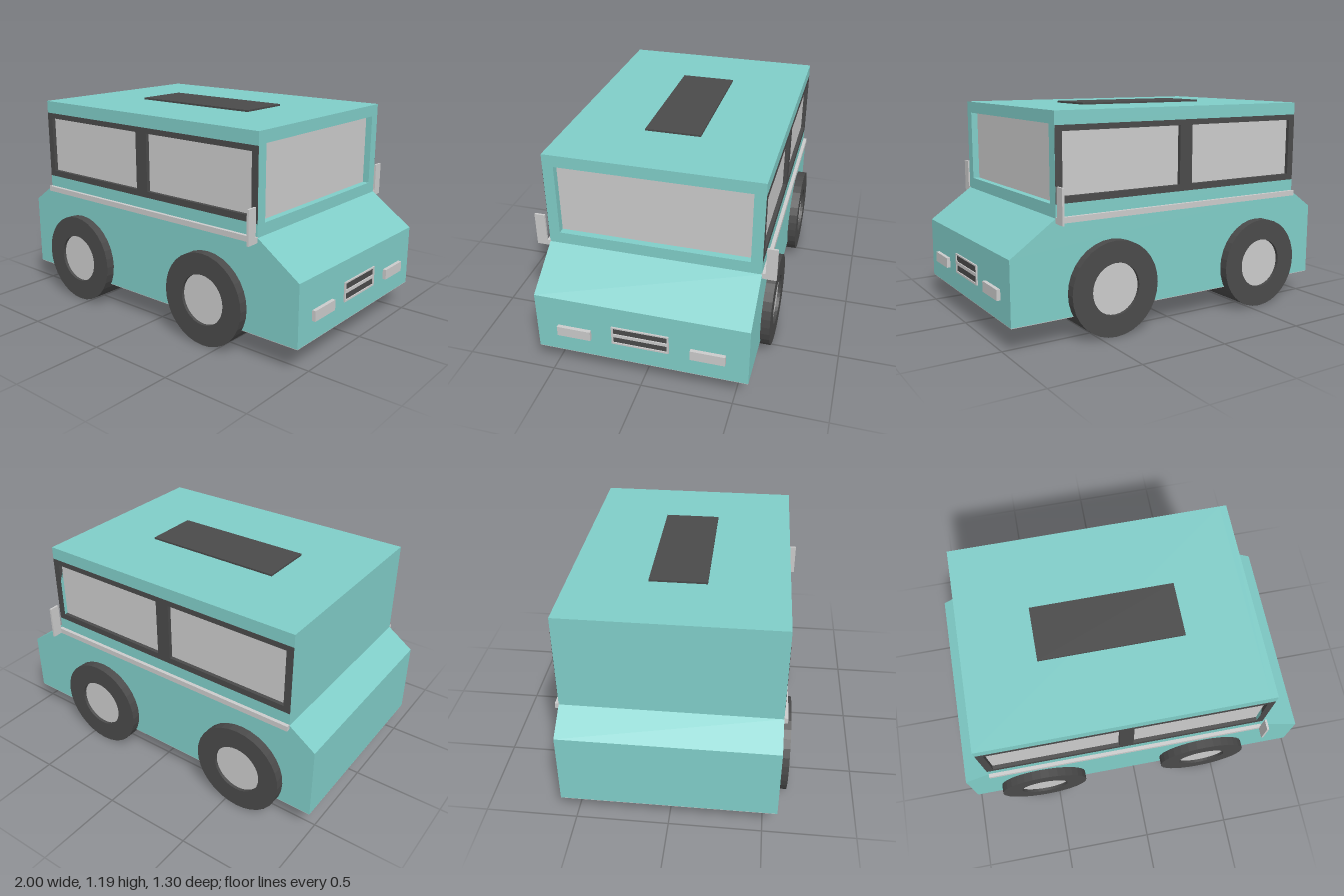
import * as THREE from 'three';

const mat = (color) => new THREE.MeshStandardMaterial({ color, flatShading: true });

export function createModel() {
  const car = new THREE.Group();
  car.name = 'boxyCar';
  const teal = mat(0x80cdc8), dark = mat(0x4a4a4a), grey = mat(0xcccccc);

  const add = (name, geometry, material, parent = car) => {
    const mesh = new THREE.Mesh(geometry, material);
    mesh.name = name;
    parent.add(mesh);
    return mesh;
  };
  // Box given by its limits on each axis
  const box = (name, material, x0, x1, y0, y1, z0, z1) => {
    const mesh = add(name, new THREE.BoxGeometry(x1 - x0, y1 - y0, z1 - z0), material);
    mesh.position.set((x0 + x1) / 2, (y0 + y1) / 2, (z0 + z1) / 2);
    return mesh;
  };
  const loop = (x0, x1, y0, y1) => [[x0, y0], [x1, y0], [x1, y1], [x0, y1]].map((p) => new THREE.Vector2(...p));
  // Flat panel with rectangular openings, extruded along z
  const panel = (outer, holes, depth) => {
    const shape = new THREE.Shape(loop(...outer));
    holes.forEach((h) => shape.holes.push(new THREE.Path(loop(...h))));
    return new THREE.ExtrudeGeometry(shape, { depth, bevelEnabled: false });
  };

  // Lower body with sloping bonnet and tail
  const profile = [[-1, 0.14], [0.98, 0.14], [0.98, 0.48], [0.73, 0.655], [-0.85, 0.655], [-1, 0.55]];
  const lower = new THREE.ExtrudeGeometry(
    new THREE.Shape(profile.map((p) => new THREE.Vector2(...p))), { depth: 1.15, bevelEnabled: false });
  add('lowerBody', lower.translate(0, 0, -0.575), teal);
  box('floor', grey, -0.999, 0.979, 0.137, 0.145, -0.574, 0.574);

  // Cabin: sill, roof, rear wall and windscreen surround
  box('cabinSill', teal, -0.85, 0.69, 0.65, 0.725, -0.575, 0.575);
  box('roof', teal, -0.85, 0.69, 1.11, 1.18, -0.575, 0.575);
  box('rearWall', teal, -0.85, -0.83, 0.7, 1.12, -0.575, 0.575);
  box('cabinGlass', grey, -0.84, 0.692, 0.7, 1.12, -0.555, 0.555);
  const surround = add('windscreenSurround',
    panel([-0.575, 0.575, 0.655, 1.18], [[-0.515, 0.515, 0.72, 1.115]], 0.04), teal);
  surround.rotation.y = Math.PI / 2;
  surround.position.x = 0.69;
  box('roofPanel', dark, -0.455, 0.335, 1.175, 1.19, -0.153, 0.153);

  // Parts on both flanks
  for (const side of [1, -1]) {
    const frame = add('sideWindowFrame', panel([-0.8495, 0.7295, 0.725, 1.11],
      [[-0.81, -0.1, 0.76, 1.08], [-0.02, 0.69, 0.76, 1.08]], 0.022), dark);
    frame.position.z = side > 0 ? 0.554 : -0.576;
    const trim = box('sideTrim', grey, -0.85, 0.73, 0.63, 0.66, 0.57, 0.595);
    const mirror = box('sideMirror', grey, 0.72, 0.732, 0.63, 0.815, 0.593, 0.65);
    const light = box('headlight', grey, 0.975, 1, 0.25, 0.307, 0.27, 0.455);
    for (const part of [trim, mirror, light]) part.position.z *= side;
  }

  // Grille with two dark slots
  const grille = add('grille', panel([-0.155, 0.155, 0.25, 0.36],
    [[-0.145, 0.145, 0.26, 0.297], [-0.145, 0.145, 0.315, 0.352]], 0.01), grey);
  grille.rotation.y = Math.PI / 2;
  grille.position.x = 0.978;
  box('grilleSlots', dark, 0.975, 0.982, 0.255, 0.355, -0.15, 0.15);

  // Full-width wheel rollers with recessed hubs
  const tyreProfile = [[0.14, -0.605], [0.14, -0.625], [0.257, -0.625], [0.257, 0.625], [0.14, 0.625], [0.14, 0.605]]
    .map((p) => new THREE.Vector2(...p));
  for (const x of [-0.573, 0.411]) {
    const axle = new THREE.Group();
    axle.name = 'wheelPair';
    axle.position.set(x, 0.259, 0);
    axle.rotation.x = Math.PI / 2;
    add('tyres', new THREE.LatheGeometry(tyreProfile, 32), dark, axle);
    add('hubs', new THREE.CylinderGeometry(0.142, 0.142, 1.215, 32), grey, axle);
    car.add(axle);
  }
  return car;
}
